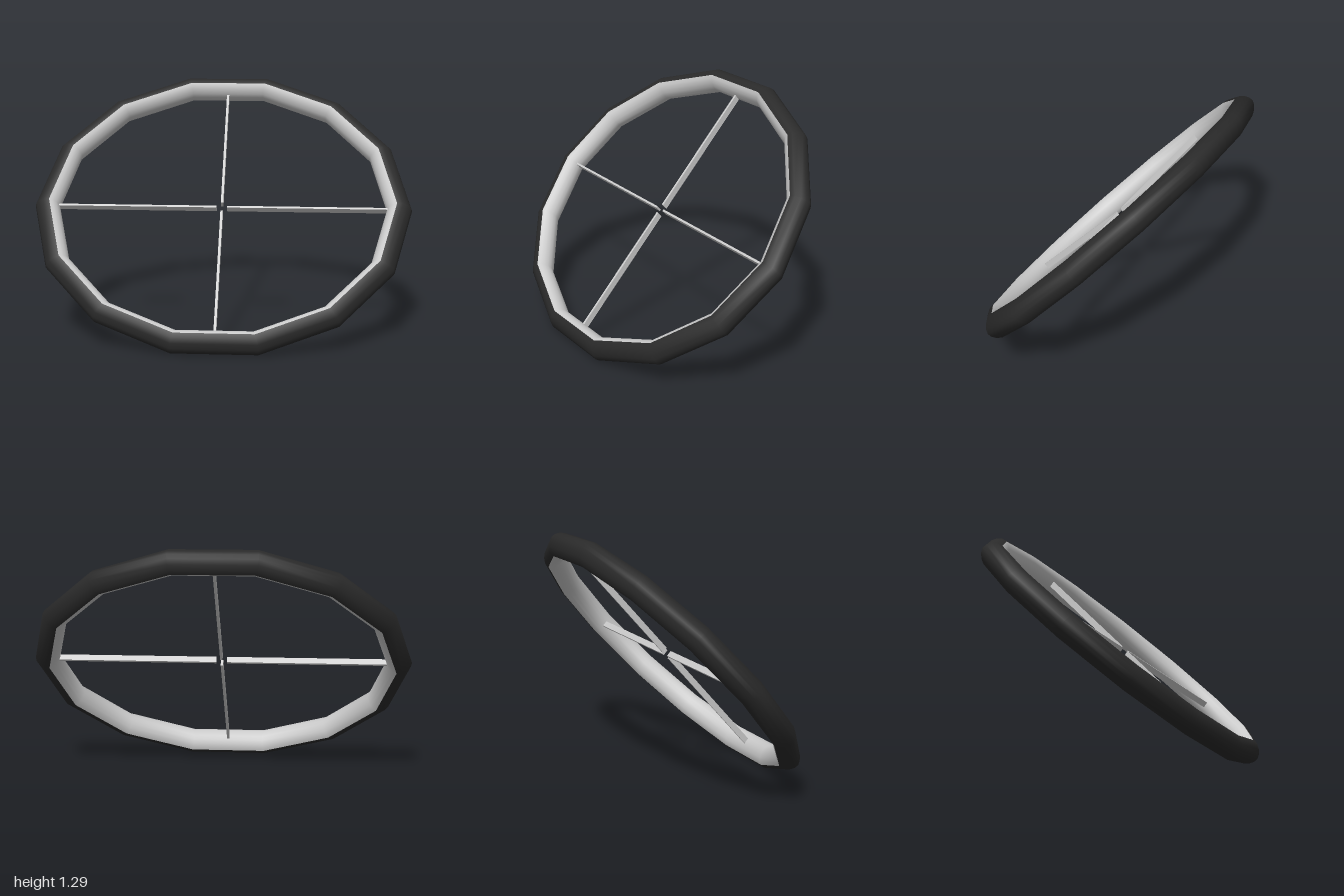
import * as THREE from 'three';

const SIDES = 14;

// Tilted wheel plane: local x = across, local y = axle, local z = down the slope
const tilt = new THREE.Matrix4().makeBasis(
  new THREE.Vector3(1, 0, 0),
  new THREE.Vector3(0, 0.641, 0.569),
  new THREE.Vector3(0, -0.641, 0.569)
).setPosition(0, 0.645, 0);

function part(name, geometry, material) {
  const mesh = new THREE.Mesh(geometry.applyMatrix4(tilt), material);
  mesh.name = name;
  return mesh;
}

// Ring turned from a half profile [radius, axle offset], mirrored about the wheel plane
function ring(half, direction) {
  const mirrored = half.slice(0, -1).reverse().map(([r, n]) => [r, -n]);
  const points = [...half, ...mirrored].map(([r, n]) => new THREE.Vector2(r, n * direction));
  return new THREE.LatheGeometry(points, SIDES, Math.PI / 2);
}

export function createModel() {
  const group = new THREE.Group();
  group.name = 'wheel';
  const rubber = new THREE.MeshStandardMaterial({ color: 0x2a2a2a });
  const metal = new THREE.MeshStandardMaterial({ color: 0xcccccc });

  // Rounded outer tyre
  const tyre = [[0.918, -0.077], [0.948, -0.074], [0.975, -0.053], [0.993, -0.026], [1, 0]];
  group.add(part('tyre', ring(tyre, 1), rubber));

  // Inner rim bulging towards the hub
  const rim = [[0.918, -0.077], [0.9, -0.068], [0.883, -0.05], [0.872, -0.025], [0.868, 0]];
  group.add(part('rim', ring(rim, -1), metal));

  // Four thin blade spokes, leaving a small gap at the centre
  const inner = 0.028, outer = 0.88;
  for (let i = 0; i < 4; i++) {
    const spoke = new THREE.BoxGeometry(outer - inner, 0.038, 0.013);
    spoke.translate((inner + outer) / 2, 0, 0).rotateY(i * Math.PI / 2);
    group.add(part('spoke' + (i + 1), spoke, metal));
  }
  return group;
}
